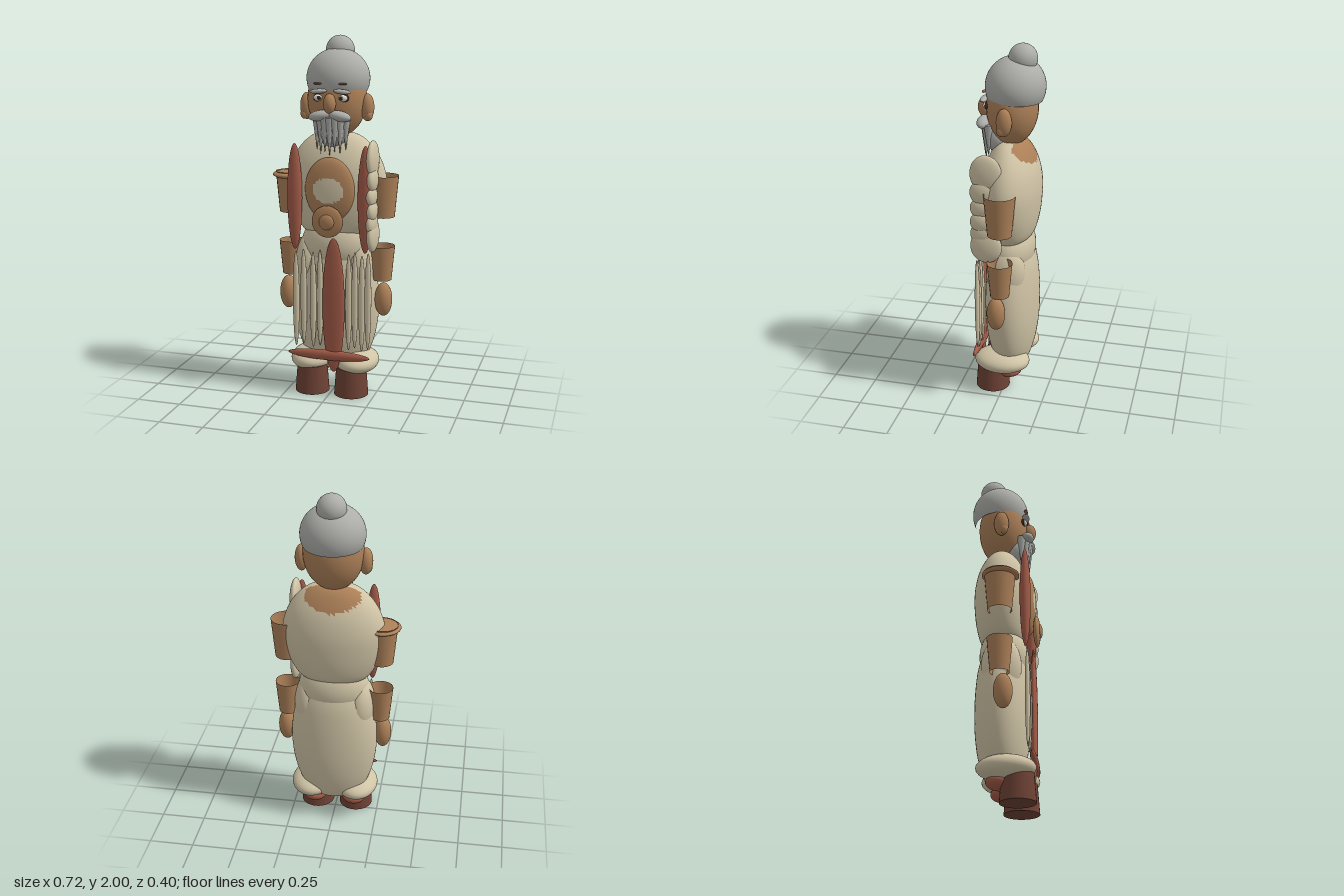
import * as THREE from 'three';

const mat = (name, color, side = THREE.FrontSide) => {
  const m = new THREE.MeshStandardMaterial({ color, side });
  m.name = name;
  return m;
};

export function createModel() {
  const hair = mat('grey hair', 0xadada9);
  const skin = mat('tan skin', 0xac8058, THREE.DoubleSide);
  const cloth = mat('cream cloth', 0xd0c4a6);
  const red = mat('rust red', 0xa35b48);
  const boot = mat('boot brown', 0x6e4235);
  const white = mat('eye white', 0xe6e2d8);
  const dark = mat('pupil dark', 0x3a2820);

  const model = new THREE.Group();
  model.name = 'oldMan';

  const add = (name, geo, material, x = 0, y = 0, z = 0, rz = 0, rx = 0) => {
    const m = new THREE.Mesh(geo, material);
    m.name = name;
    m.position.set(x, y, z);
    m.rotation.set(rx, 0, rz);
    model.add(m);
    return m;
  };
  const ball = (a, b, c, w = 32, h = 24) => new THREE.SphereGeometry(1, w, h).scale(a, b, c);
  const blob = (name, material, [x, y, z], [a, b, c], rz = 0, rx = 0) =>
    add(name, ball(a, b, c), material, x, y, z, rz, rx);

  // Closed body swept through elliptical rings [y, halfWidth, halfDepth], bottom to top
  const loft = (rings, around = 56, rows = 36) => {
    const curve = new THREE.CatmullRomCurve3(rings.map(([y, a, b]) => new THREE.Vector3(a, y, b)));
    const pts = curve.getPoints(rows);
    const geo = new THREE.LatheGeometry(pts.map(p => new THREE.Vector2(p.x, p.y)), around);
    const pos = geo.attributes.position;
    for (let i = 0; i < pos.count; i++) {
      const p = pts[i % pts.length];
      pos.setZ(i, pos.getZ(i) * p.z / p.x);
    }
    geo.computeVertexNormals();
    return geo;
  };

  // Sorts triangles into two material groups by their centre
  const paint = (geo, test) => {
    const pos = geo.attributes.position, sets = [[], []];
    for (let i = 0; i < geo.index.count; i += 3) {
      const c = new THREE.Vector3(), tri = [0, 1, 2].map(k => geo.index.getX(i + k));
      tri.forEach(v => c.add(new THREE.Vector3().fromBufferAttribute(pos, v)));
      sets[test(c.divideScalar(3)) ? 1 : 0].push(...tri);
    }
    geo.setIndex([...sets[0], ...sets[1]]);
    geo.clearGroups();
    geo.addGroup(0, sets[0].length, 0);
    geo.addGroup(sets[0].length, sets[1].length, 1);
    return geo;
  };

  // Upper body, with bare skin at the nape
  const torso = loft([
    [0.9, 0.15, 0.08], [0.94, 0.2, 0.12], [1.02, 0.245, 0.145], [1.12, 0.275, 0.158],
    [1.22, 0.283, 0.16], [1.32, 0.255, 0.145], [1.4, 0.205, 0.115], [1.46, 0.135, 0.075], [1.49, 0.03, 0.02],
  ]);
  paint(torso, c => c.z < -0.025 && c.y > 1.36 + 2.2 * c.x * c.x && Math.abs(c.x) < 0.15);
  add('torso', torso, [cloth, skin], 0.005, 0, -0.02);

  // Robe below the waist
  blob('waist', cloth, [0.005, 0.85, -0.015], [0.2, 0.17, 0.135]);
  add('robe', loft([
    [0.12, 0.03, 0.03], [0.15, 0.14, 0.09], [0.25, 0.2, 0.125], [0.38, 0.235, 0.145], [0.52, 0.247, 0.15],
    [0.66, 0.235, 0.145], [0.78, 0.205, 0.13], [0.86, 0.155, 0.1], [0.9, 0.03, 0.03],
  ]), cloth, 0.002, 0, -0.023);

  // Chest opening and round buckle
  const chest = paint(ball(0.14, 0.178, 0.045, 48, 32),
    c => c.z > 0 && (c.x / 0.085) ** 2 + (c.y / 0.07) ** 2 < 1);
  add('chestOpening', chest, [skin, cloth], 0.005, 1.178, 0.121);
  blob('buckle', skin, [0.005, 1.01, 0.168], [0.088, 0.088, 0.02]);
  blob('buckleButton', skin, [0.005, 1.01, 0.182], [0.043, 0.043, 0.018]);

  // Sash, hem band and lapels
  blob('sash', red, [0.033, 0.53, 0.145], [0.064, 0.385, 0.02]);
  blob('hemBand', red, [0.005, 0.243, 0.15], [0.236, 0.03, 0.02]);
  blob('rightLapel', red, [-0.196, 1.13, 0.12], [0.042, 0.295, 0.03]);
  blob('leftLapel', red, [0.205, 1.13, 0.122], [0.042, 0.295, 0.03]);

  // Thin hanging pleats
  [-0.19, -0.145, -0.09, -0.05, 0.115, 0.15, 0.19, 0.225].forEach((x, i) =>
    blob('pleat', cloth, [x, 0.55 + (i % 2) * 0.015, 0.128], [0.019, 0.275, 0.014]));

  // Bunched shawl over the left shoulder
  [[1.345, 0.105, 0.088], [1.24, 0.07, 0.07], [1.15, 0.06, 0.065], [1.07, 0.06, 0.065],
    [1.0, 0.07, 0.075], [0.93, 0.095, 0.088]].forEach(([y, ry, rz], i) =>
    blob('shawlFold', cloth, [0.232 + (i % 2) * 0.004, y, 0.16 - rz], [0.03, ry, rz]));

  // Tapered open sleeves and hands
  const sleeve = (name, x, y, top, bottom, h) =>
    add(name, new THREE.CylinderGeometry(top, bottom, h, 20, 1, true), skin, x, y, -0.012);
  for (const s of [-1, 1]) {
    const side = s > 0 ? 'left' : 'right', x = s * 0.265 + 0.005;
    sleeve(side + 'UpperSleeve', x, 1.135, 0.087, 0.066, 0.23);
    sleeve(side + 'LowerSleeve', x, 0.758, 0.07, 0.052, 0.195);
    blob(side + 'Hand', skin, [s * 0.279 + 0.004, 0.552, 0.007], [0.049, 0.096, 0.051]);

    // Hips, trouser cuffs, boots and heels
    blob(side + 'Hip', cloth, [s * 0.145, 0.74, -0.015], [0.085, 0.17, 0.11]);
    blob(side + 'Cuff', cloth, [s * 0.132 + 0.003, 0.182, 0.008], [0.121, 0.068, 0.158]);
    add(side + 'Boot', new THREE.CylinderGeometry(0.085, 0.097, 0.16, 32), boot, s * 0.115, 0.08, 0.068);
    blob(side + 'Heel', red, [s * 0.115, 0.112, -0.03], [0.07, 0.042, 0.07]);

    // Ears
    blob(side + 'Ear', skin, [s * 0.172 + 0.006, 1.617, -0.014], [0.037, 0.075, 0.042]);
    blob(side + 'EarLobe', skin, [s * 0.182 + 0.006, 1.575, 0.0], [0.022, 0.03, 0.024]);

    // Eyes, brows and moustache
    const fx = d => s * d + 0.006;
    blob(side + 'EyeSocket', dark, [fx(0.07), 1.674, 0.1], [0.03, 0.022, 0.014]);
    blob(side + 'Eye', white, [fx(0.07), 1.674, 0.11], [0.024, 0.017, 0.014]);
    blob(side + 'Pupil', dark, [fx(0.062), 1.674, 0.12], [0.011, 0.011, 0.007]);
    blob(side + 'Brow', hair, [fx(0.066), 1.709, 0.118], [0.048, 0.013, 0.02], s * -0.08);
    blob(side + 'BrowCrease', red, [fx(0.07), 1.75, 0.118], [0.024, 0.006, 0.01]);
    blob(side + 'Moustache', hair, [fx(0.056), 1.58, 0.125], [0.064, 0.028, 0.036], s * -0.18);
  }
  blob('shoulderDisc', skin, [-0.258, 1.232, -0.008], [0.105, 0.024, 0.102]);

  // Head, nose, hair cap and bun
  blob('head', skin, [0.006, 1.66, -0.02], [0.165, 0.21, 0.14]);
  blob('nose', skin, [0.007, 1.645, 0.132], [0.034, 0.054, 0.038]);
  add('hairCap', new THREE.SphereGeometry(1, 48, 24, 0, Math.PI * 2, 0, Math.PI * 0.63)
    .scale(0.175, 0.163, 0.162), hair, 0.007, 1.77, -0.037, 0, -0.06);
  blob('hairBun', hair, [0.007, 1.92, -0.076], [0.079, 0.08, 0.078]);

  // Beard with pointed strands
  blob('beard', hair, [0.006, 1.5, 0.065], [0.09, 0.095, 0.075]);
  for (let i = -3; i <= 3; i++) {
    const h = 0.215 - Math.abs(i) * 0.006 - (i & 1 ? 0.015 : 0);
    add('beardStrand', new THREE.ConeGeometry(0.026, h, 20).rotateX(Math.PI), hair,
      0.006 + i * 0.027, 1.572 - h / 2, 0.128 - i * i * 0.004);
  }
  return model;
}
